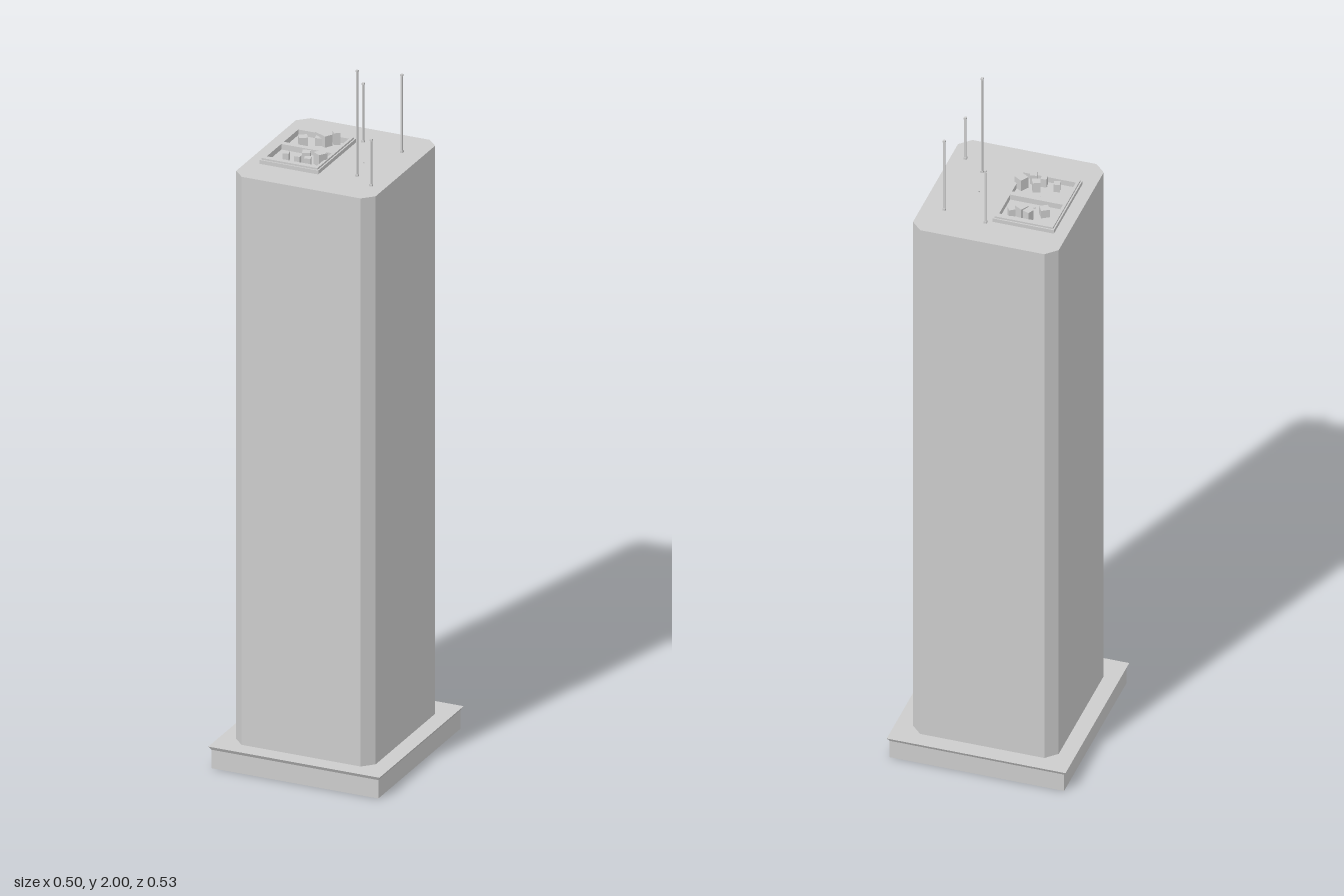
import * as THREE from 'three';

export function createModel() {
  const group = new THREE.Group();
  const grey = new THREE.MeshStandardMaterial({ color: 0xcccccc, side: THREE.DoubleSide });
  grey.name = 'concrete grey';

  const add = (name, geometry, x = 0, y = 0, z = 0) => {
    const mesh = new THREE.Mesh(geometry, grey);
    mesh.name = name;
    mesh.position.set(x, y, z);
    group.add(mesh);
    return mesh;
  };
  // Box standing on a given height
  const block = (name, w, h, d, x, y, z) =>
    add(name, new THREE.BoxGeometry(w, h, d), x, y + h / 2, z);
  // Plan outline (x, z) raised to a height; the shape's y runs along -z
  const raise = (shape, height) =>
    new THREE.ExtrudeGeometry(shape, { depth: height, bevelEnabled: false }).rotateX(-Math.PI / 2);
  const outline = (points, Type = THREE.Shape) =>
    new Type(points.map(([x, z]) => new THREE.Vector2(x, -z)));
  const rect = (x0, x1, z0, z1) => [[x0, z0], [x0, z1], [x1, z1], [x1, z0]];

  // Hollow base: open underneath, with a flared lip and a flat deck
  const deckY = 0.063, roofY = 1.695;
  const rings = [[0.243, 0.259, 0], [0.243, 0.259, 0.053], [0.249, 0.265, deckY]];
  const positions = [];
  const corner = ([w, d, y], i) => {
    const [sx, sz] = [[1, 1], [1, -1], [-1, -1], [-1, 1]][i % 4];
    return [sx * w, y, sz * d];
  };
  for (let r = 0; r < 2; r++) {
    for (let i = 0; i < 4; i++) {
      const a = corner(rings[r], i), b = corner(rings[r], i + 1);
      const c = corner(rings[r + 1], i + 1), d = corner(rings[r + 1], i);
      positions.push(...a, ...b, ...c, ...a, ...c, ...d);
    }
  }
  const skirt = new THREE.BufferGeometry();
  skirt.setAttribute('position', new THREE.Float32BufferAttribute(positions, 3));
  skirt.computeVertexNormals();
  add('baseSkirt', skirt);
  add('baseDeck', new THREE.PlaneGeometry(0.498, 0.53).rotateX(-Math.PI / 2), 0, deckY, 0);

  // Tower shaft with chamfered corners
  const w = 0.203, d = 0.217, c = 0.03;
  const plan = [[w, d - c], [w, c - d], [w - c, -d], [c - w, -d],
    [-w, c - d], [-w, d - c], [c - w, d], [w - c, d]];
  add('towerShaft', raise(outline(plan), roofY - deckY), -0.001, deckY, 0);

  // Roof plant enclosure: a stepped frame around two wells
  const frame = (inset) => {
    const shape = outline(rect(-0.168 + inset, 0.003 - inset, -0.12 + inset, 0.118 - inset));
    for (const [z0, z1] of [[-0.1, -0.009], [0.007, 0.098]]) {
      shape.holes.push(outline(rect(-0.156, -0.009, z0, z1), THREE.Path));
    }
    return shape;
  };
  add('plantFrameLower', raise(frame(0), 0.011), 0, roofY, 0);
  add('plantFrameUpper', raise(frame(0.004), 0.005), 0, roofY + 0.011, 0);

  // Machinery in the wells: x, z, size, turn in degrees, height
  const units = [
    [-0.118, -0.048, 0.024, 32, 0.024], [-0.083, -0.08, 0.02, -25, 0.03],
    [-0.079, -0.066, 0.021, 15, 0.022], [-0.061, -0.069, 0.025, -30, 0.032],
    [-0.04, -0.09, 0.018, 33, 0.034], [-0.113, 0.07, 0.017, 15, 0.024],
    [-0.061, 0.054, 0.022, 20, 0.03], [-0.074, 0.08, 0.016, 5, 0.026],
    [-0.043, 0.085, 0.018, 15, 0.028], [-0.02, 0.054, 0.026, -32, 0.034],
  ];
  for (const [x, z, s, turn, h] of units) {
    block('roofUnit', s, h, s, x, roofY, z).rotation.y = THREE.MathUtils.degToRad(turn);
  }

  // Small vents
  for (const [x, z] of [[-0.083, -0.028], [-0.083, 0.025], [-0.083, 0.079], [0.08, -0.002]]) {
    block('vent', 0.004, 0.004, 0.003, x, roofY, z);
  }

  // Antenna masts with small feet and caps: x, z, top
  const masts = [[0.019, -0.13, 1.865], [0.141, -0.109, 1.92], [0.101, 0.086, 2], [0.162, 0.129, 1.83]];
  for (const [x, z, top] of masts) {
    block('mast', 0.005, top - roofY, 0.005, x, roofY, z);
    block('mastFoot', 0.008, 0.006, 0.008, x, roofY, z);
    block('mastCap', 0.007, 0.005, 0.007, x, top - 0.005, z);
  }
  return group;
}
